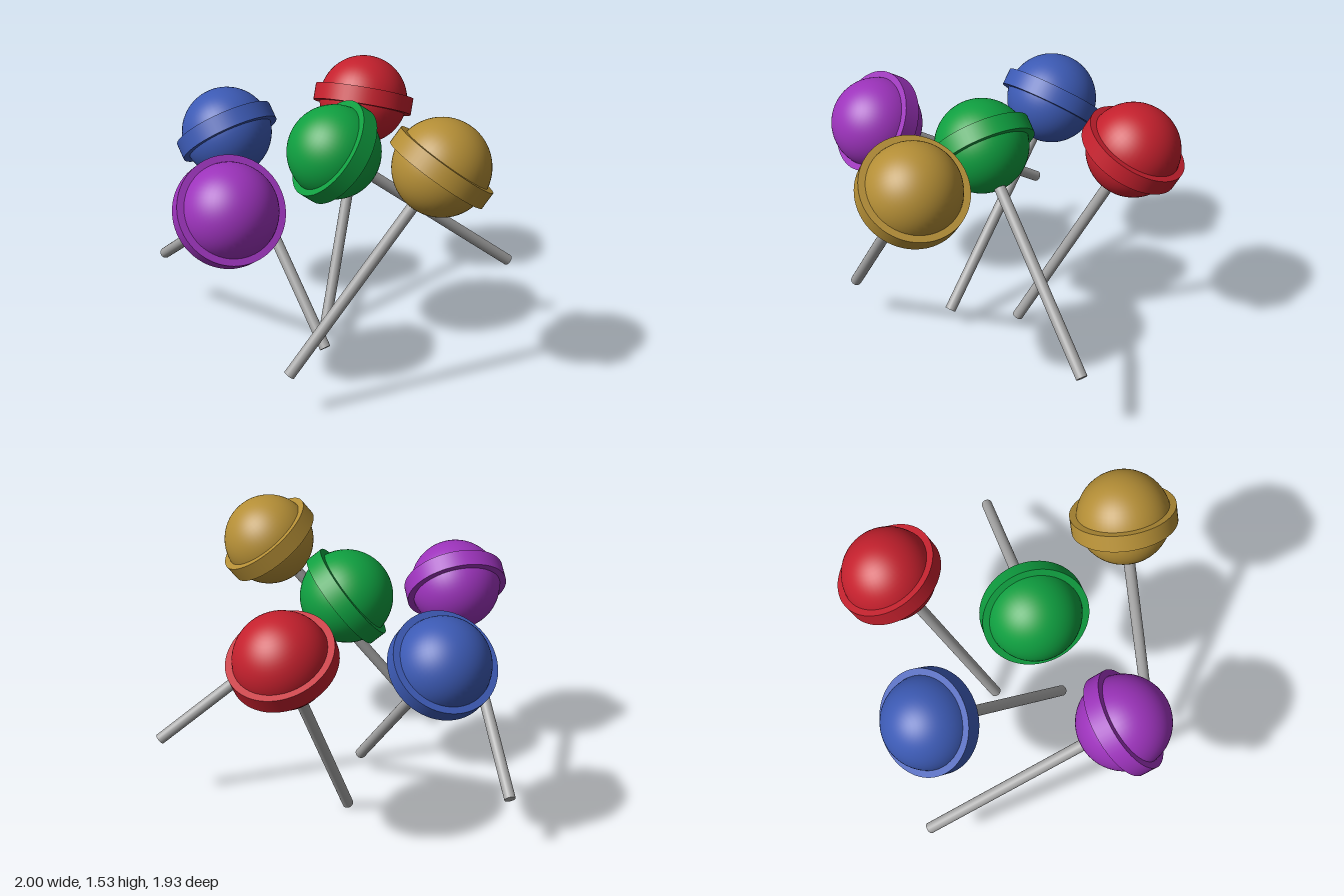
import * as THREE from 'three';

const BALL_RADIUS = 0.246;
const BAND_RADIUS = 0.277;
const BAND_HEIGHT = 0.092;
const STICK_RADIUS = 0.03;
const STICK_LENGTH = 1.3; // from the ball centre to the free end

function material(name, color) {
  const m = new THREE.MeshStandardMaterial({ color });
  m.name = name;
  return m;
}

function part(name, geometry, mat) {
  const mesh = new THREE.Mesh(geometry, mat);
  mesh.name = name;
  return mesh;
}

export function createModel() {
  const model = new THREE.Group();
  model.name = 'lollipops';

  const stickMaterial = material('stick grey', 0xa8a8a8);
  const ballGeometry = new THREE.SphereGeometry(BALL_RADIUS, 48, 32);
  const bandGeometry = new THREE.CylinderGeometry(BAND_RADIUS, BAND_RADIUS, BAND_HEIGHT, 64);
  const stickGeometry = new THREE.CylinderGeometry(STICK_RADIUS, STICK_RADIUS, STICK_LENGTH, 24);
  stickGeometry.translate(0, -STICK_LENGTH / 2, 0);

  // Ball centre and free end of the stick for each lollipop
  const lollipops = [
    ['red', 0xc4202d, [-0.024, 1.17, -0.697], [-0.024, 0.014, -0.103]],
    ['green', 0x0f9f40, [0.093, 1.177, 0.073], [0.883, 0.38, -0.583]],
    ['blue', 0x3c5ab4, [-0.63, 1.083, -0.178], [0.115, 0.107, 0.253]],
    ['purple', 0x9c33bb, [-0.213, 1.068, 0.712], [-0.976, 0.337, -0.046]],
    ['gold', 0xb48e36, [0.733, 1.28, 0.282], [0.124, 0.246, 0.78]],
  ];

  const up = new THREE.Vector3(0, 1, 0);
  for (const [name, color, centre, end] of lollipops) {
    const candy = material(`${name} candy`, color);
    const lollipop = new THREE.Group();
    lollipop.name = `${name}Lollipop`;
    lollipop.add(
      part('candyBall', ballGeometry, candy),
      part('candyBand', bandGeometry, candy),
      part('stick', stickGeometry, stickMaterial),
    );

    // Point the lollipop's own y axis from the stick end to the ball
    const position = new THREE.Vector3(...centre);
    const axis = position.clone().sub(new THREE.Vector3(...end)).normalize();
    lollipop.position.copy(position);
    lollipop.quaternion.setFromUnitVectors(up, axis);
    model.add(lollipop);
  }
  return model;
}
